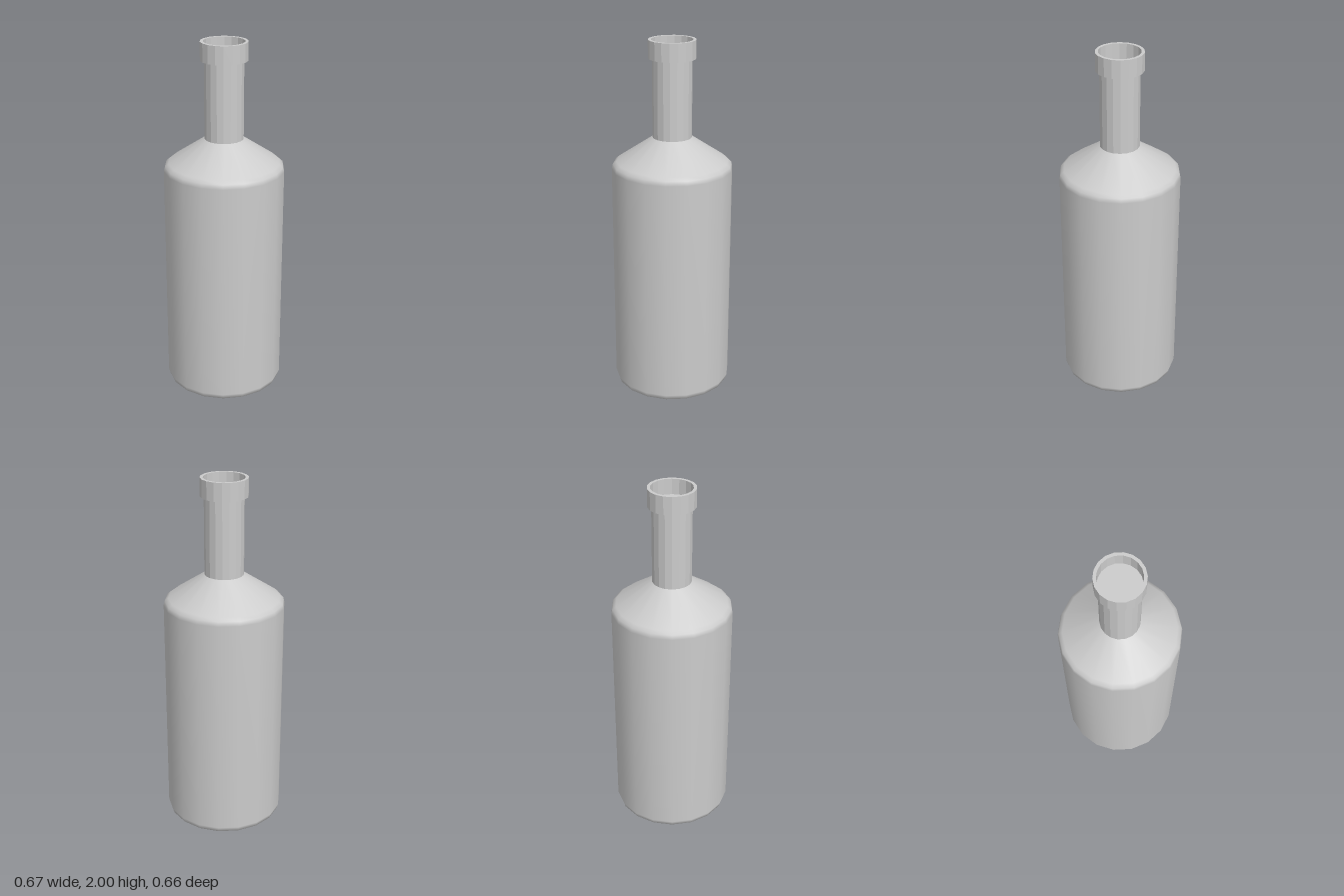
import * as THREE from 'three';

const SIDES = 18;

// Revolves [radius, height] pairs, with a corner of the polygon on the x axis.
function revolve(name, profile, flatShading) {
  const points = profile.map(([r, y]) => new THREE.Vector2(r, y));
  const geometry = new THREE.LatheGeometry(points, SIDES, Math.PI / 2);
  const material = new THREE.MeshStandardMaterial({ color: 0xcccccc, flatShading });
  const mesh = new THREE.Mesh(geometry, material);
  mesh.name = name;
  return mesh;
}

export function createModel() {
  const bottle = new THREE.Group();
  bottle.name = 'bottle';

  // Flat underside
  bottle.add(revolve('base', [[0, 0], [0.302, 0]], true));

  // Smooth body with bevelled foot and rounded, sloping shoulder
  bottle.add(revolve('body', [
    [0.302, 0], [0.324, 0.012], [0.333, 0.04],
    [0.333, 1.295], [0.327, 1.32], [0.307, 1.336],
    [0.108, 1.47],
  ], false));

  // Straight faceted neck
  bottle.add(revolve('neck', [[0.108, 1.47], [0.108, 1.9]], true));

  // Lip: collar with a shallow recess closed by a floor
  bottle.add(revolve('lip', [
    [0.108, 1.9], [0.129, 1.9], [0.129, 2],
    [0.112, 2], [0.112, 1.915], [0, 1.915],
  ], true));

  return bottle;
}
